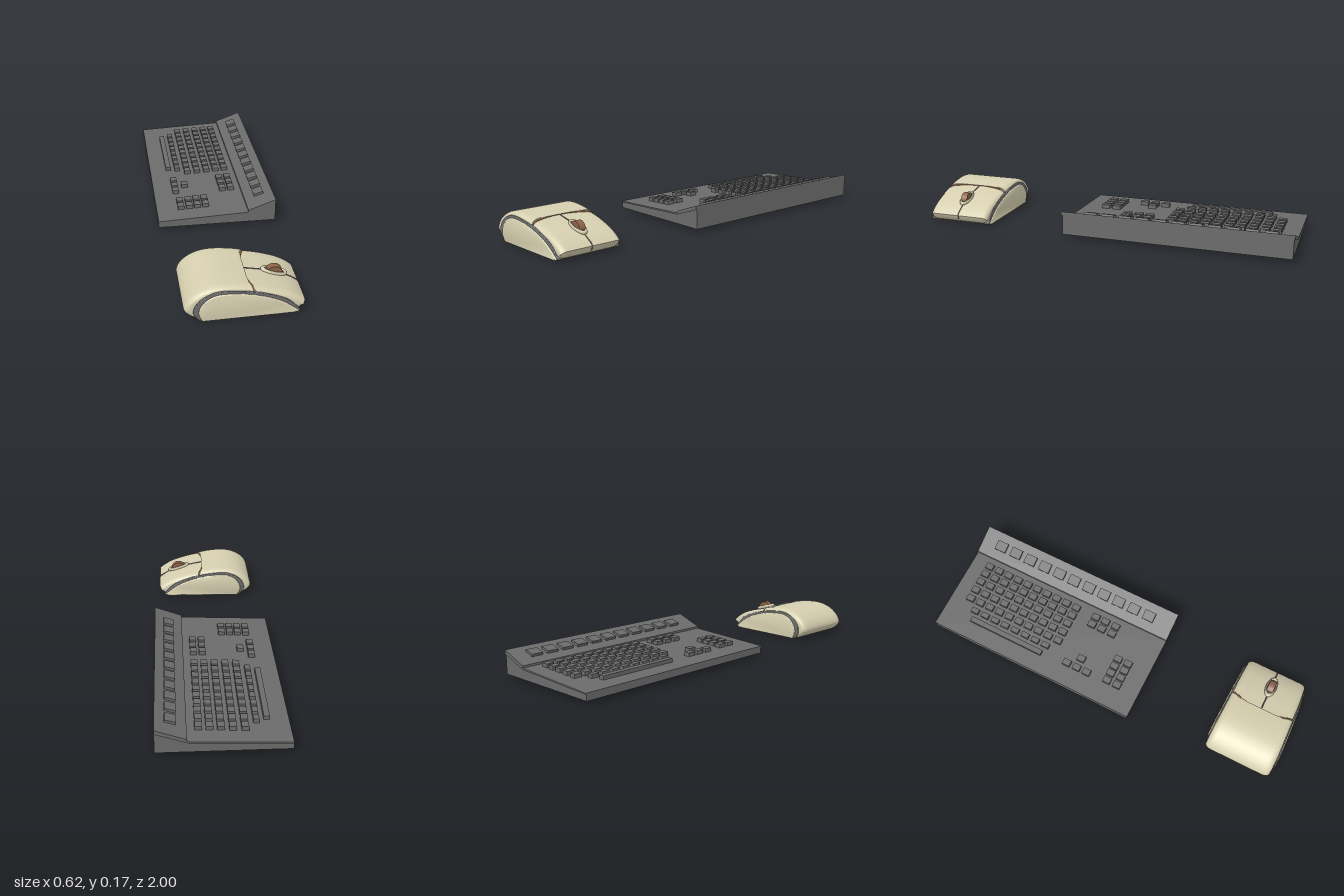
import * as THREE from 'three';
import { toCreasedNormals } from 'three/addons/utils/BufferGeometryUtils.js';

const mat = (color) => new THREE.MeshStandardMaterial({ color });
const V2 = (p) => p.map(([x, y]) => new THREE.Vector2(x, y));

function add(parent, name, geometry, material, x = 0, y = 0, z = 0) {
  const mesh = new THREE.Mesh(geometry, material);
  mesh.name = name;
  mesh.position.set(x, y, z);
  parent.add(mesh);
  return mesh;
}

function makeKeyboard(dark) {
  const keyboard = new THREE.Group();
  keyboard.name = 'keyboard';

  // wedge body with a raised, steeper strip along the back edge
  const profile = new THREE.Shape(V2([
    [-0.31, 0.02], [0.31, 0.02], [0.31, 0.143], [0.165, 0.09], [0.165, 0.079], [-0.31, 0.058],
  ]));
  const body = new THREE.ExtrudeGeometry(profile, { depth: 1.18, bevelEnabled: false });
  add(keyboard, 'keyboardBody', body, dark, 0, 0, -0.995);

  // thin lip around the top plate at both ends
  const lip = new THREE.Shape(V2([
    [-0.31, 0.052], [0.16, 0.07], [0.31, 0.122], [0.31, 0.143], [0.165, 0.09], [0.165, 0.079], [-0.31, 0.058],
  ]));
  for (const z of [-1, 0.185]) {
    add(keyboard, 'endLip', new THREE.ExtrudeGeometry(lip, { depth: 0.006, bevelEnabled: false }), dark, 0, 0, z);
  }

  // keys stand on the sloping top plate
  const key = (name, x, z, w = 0.034, d = 0.043) => {
    const y = 0.058 + (x + 0.31) * 0.044;
    add(keyboard, name, new THREE.BoxGeometry(w, 0.026, d), dark, x, y + 0.007, z).rotation.z = 0.044;
  };
  for (const x of [-0.1, -0.045, 0.01, 0.062, 0.112]) {
    for (let i = 0; i < 10; i++) key('mainKey', x, -0.89 + i * 0.0613);
  }
  for (let i = 0; i < 8; i++) key('bottomRowKey', -0.155, -0.83 + i * 0.0633, 0.028);
  key('spaceBar', -0.205, -0.605, 0.028, 0.44);
  for (const [x, z] of [[-0.19, -0.235], [-0.19, -0.175], [-0.19, -0.115], [-0.135, -0.175]]) key('arrowKey', x, z);
  for (const x of [0.066, 0.112]) for (const z of [-0.215, -0.155, -0.093]) key('editKey', x, z);
  for (const x of [-0.18, -0.135, -0.092, -0.048]) for (const z of [0.005, 0.065]) key('padKey', x, z);

  // large function keys on the raised strip
  for (let i = 0; i < 11; i++) {
    add(keyboard, 'functionKey', new THREE.BoxGeometry(0.054, 0.024, 0.064), dark, 0.24, 0.118, -0.88 + i * 0.0928)
      .rotation.z = 0.29;
  }
  return keyboard;
}

const taper = (x) => 1 - 0.08 * (x + 0.2) / 0.485;

// extrudes a side outline about the mouse's centre plane, narrowing to the front
function slab(shape, half, bevelThickness, bevelSize, rule) {
  const g = new THREE.ExtrudeGeometry(shape, {
    depth: 2 * (half - bevelThickness), steps: 12, curveSegments: 28,
    bevelThickness, bevelSize, bevelOffset: -bevelSize, bevelSegments: 5,
  });
  g.translate(0, 0, -(half - bevelThickness));
  const p = g.attributes.position;
  for (let i = 0; i < p.count; i++) {
    const v = new THREE.Vector3().fromBufferAttribute(p, i);
    if (rule) rule(v);
    v.z *= taper(v.x);
    p.setXYZ(i, v.x, v.y, v.z);
  }
  return toCreasedNormals(g, 0.6);
}

function makeMouse(beige, brown, dark) {
  const mouse = new THREE.Group();
  mouse.name = 'mouse';
  mouse.position.z = 0.807;

  // bow of the seam between palm rest and buttons: 1 in the middle, 0 at the sides
  const bow = (z) => Math.max(0, 1 - (z / 0.17) ** 2);

  // palm rest and buttons, with a small step between them
  const shell = new THREE.Shape();
  shell.moveTo(-0.2, 0.005);
  shell.splineThru(V2([
    [-0.235, 0.02], [-0.262, 0.045], [-0.266, 0.07], [-0.246, 0.105], [-0.205, 0.138],
    [-0.155, 0.158], [-0.1, 0.165], [-0.03, 0.161], [0.044, 0.149],
  ]));
  shell.lineTo(0.05, 0.141);
  shell.splineThru(V2([[0.12, 0.127], [0.2, 0.102], [0.25, 0.077], [0.286, 0.05]]));
  shell.lineTo(0.275, 0.025);
  shell.lineTo(0.25, 0.006);
  shell.closePath();
  add(mouse, 'topShell', slab(shell, 0.181, 0.035, 0.022, (v) => {
    if (v.x > 0.03 && v.x < 0.06 && v.y > 0.1) {
      v.x -= 0.035 * bow(v.z);
      v.y += 0.006 * bow(v.z);
    }
  }), beige);

  // dark band between shell and side panels
  const band = new THREE.Shape();
  band.moveTo(-0.195, 0.004);
  band.splineThru(V2([
    [-0.222, 0.035], [-0.225, 0.065], [-0.205, 0.103], [-0.16, 0.135], [-0.1, 0.149],
    [0, 0.14], [0.1, 0.117], [0.2, 0.075], [0.262, 0.012],
  ]));
  band.lineTo(0.24, 0.003);
  band.closePath();
  add(mouse, 'sideBand', slab(band, 0.187, 0.004, 0.004), dark);

  // side panels and base
  const panel = new THREE.Shape();
  panel.moveTo(-0.186, 0.002);
  panel.splineThru(V2([
    [-0.203, 0.04], [-0.198, 0.075], [-0.172, 0.11], [-0.13, 0.133], [-0.08, 0.138],
    [0, 0.13], [0.1, 0.105], [0.18, 0.069], [0.255, 0.013],
  ]));
  panel.lineTo(0.235, 0);
  panel.closePath();
  add(mouse, 'sidePanels', slab(panel, 0.193, 0.012, 0.01), beige);

  // brown seam behind the buttons
  const seam = [];
  for (let i = -8; i <= 8; i++) {
    const z = i / 8 * 0.15;
    seam.push(new THREE.Vector3(0.049 - 0.035 * bow(z), 0.143 + 0.006 * bow(z), z * taper(0.05)));
  }
  seam.unshift(new THREE.Vector3(0.05, 0.13, -0.171));
  seam.push(new THREE.Vector3(0.05, 0.13, 0.171));
  add(mouse, 'buttonSeam', new THREE.TubeGeometry(new THREE.CatmullRomCurve3(seam), 48, 0.005, 8), brown);

  // gap between the two buttons
  const gap = [[0.02, 0.147], [0.12, 0.127], [0.2, 0.102], [0.25, 0.077], [0.284, 0.051], [0.275, 0.027]]
    .map(([x, y]) => new THREE.Vector3(x, y, 0));
  add(mouse, 'buttonGap', new THREE.TubeGeometry(new THREE.CatmullRomCurve3(gap), 40, 0.003, 6), dark);

  // scroll wheel in its oval surround
  const surround = new THREE.Group();
  surround.name = 'wheelSurround';
  surround.position.set(0.17, 0.117, 0);
  surround.rotation.z = -0.29;
  surround.scale.z = 0.45;
  mouse.add(surround);
  add(surround, 'surroundRim', new THREE.TorusGeometry(0.056, 0.01, 10, 32).rotateX(Math.PI / 2), beige);
  add(surround, 'wheelSlot', new THREE.CylinderGeometry(0.052, 0.052, 0.008, 32), dark);
  add(mouse, 'scrollWheel', new THREE.CylinderGeometry(0.04, 0.04, 0.034, 32).rotateX(Math.PI / 2), brown, 0.17, 0.108, 0);
  return mouse;
}

export function createModel() {
  const model = new THREE.Group();
  model.name = 'keyboardAndMouse';
  const dark = mat(0x6b6b6b);
  model.add(makeKeyboard(dark), makeMouse(mat(0xd6cfb0), mat(0x8f6448), dark));
  return model;
}
